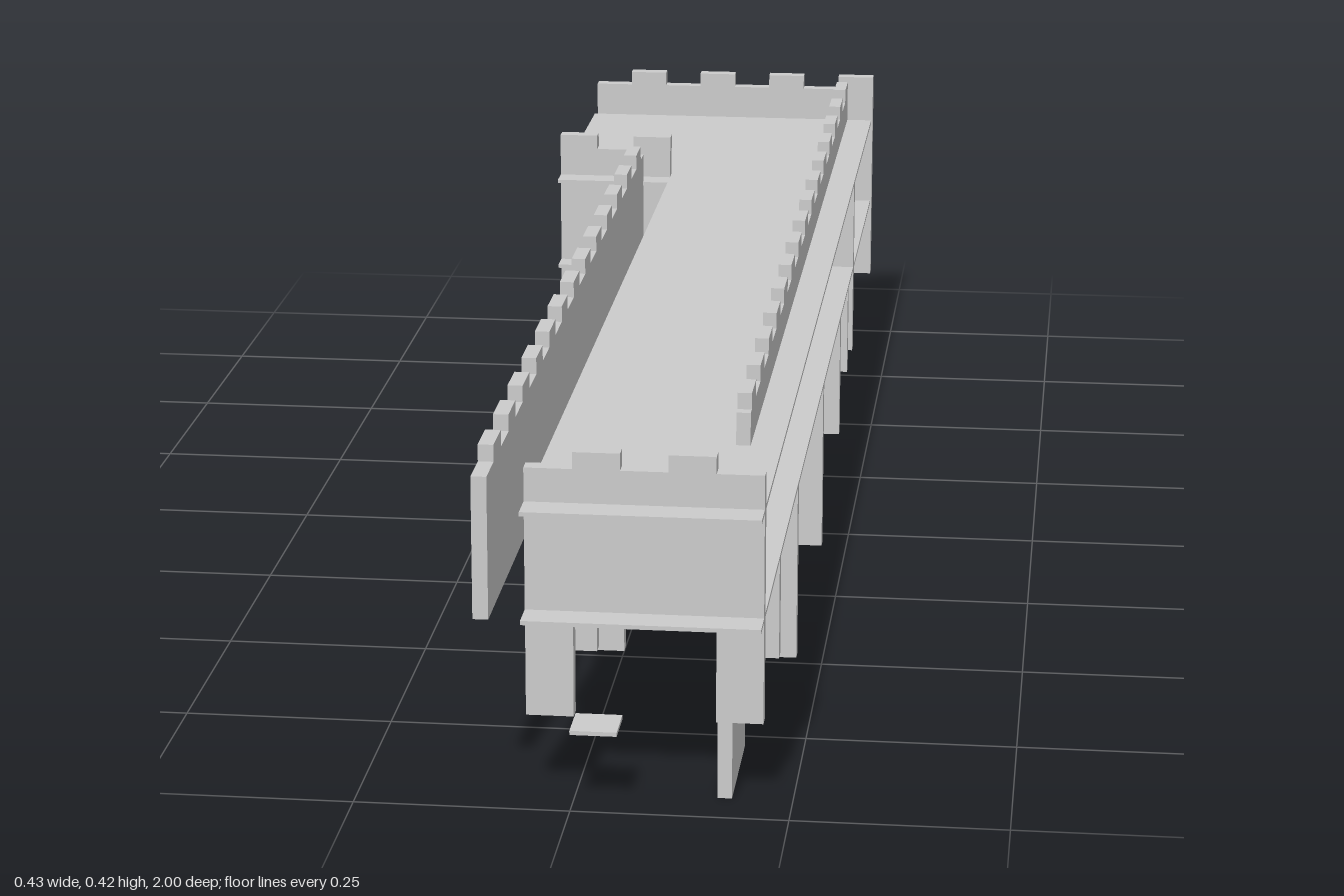
import * as THREE from 'three';

export function createModel() {
  const model = new THREE.Group();
  const grey = new THREE.MeshStandardMaterial({ color: 0xcccccc, flatShading: true });

  // Box given by its limits on each axis
  function block(name, [x0, x1], [y0, y1], [z0, z1], parent = model) {
    const mesh = new THREE.Mesh(new THREE.BoxGeometry(x1 - x0, y1 - y0, z1 - z0), grey);
    mesh.position.set((x0 + x1) / 2, (y0 + y1) / 2, (z0 + z1) / 2);
    mesh.name = name;
    parent.add(mesh);
    return mesh;
  }

  function group(name) {
    const g = new THREE.Group();
    g.name = name;
    model.add(g);
    return g;
  }

  const TOP = 0.417, NOTCH = 0.397;
  const UPPER = [0.352, 0.357], LOWER = [0.223, 0.228];
  const OUT = 0.217, INNER = -0.055;
  const BAY = OUT / 4;                       // width of merlons on the cross walls
  const SIDE_X = [0.163, 0.18];              // plane of the right-hand parapet
  const BACK_Z = -0.946;

  // Two L-shaped floors
  for (const [name, y] of [['upperFloor', UPPER], ['lowerFloor', LOWER]]) {
    const floor = group(name);
    block('mainDeck', [INNER, OUT], y, [BACK_Z, 1], floor);
    block('wingDeck', [-OUT, INNER], y, [BACK_Z, -0.515], floor);
  }

  // Long parapets, with merlons on a shared rhythm
  function longParapet(name, x, z0, z1) {
    const wall = group(name);
    block('wall', x, [0.228, NOTCH], [z0, z1], wall);
    for (let k = 0; k < 17; k++) {
      const c = 0.9175 - 0.1147 * k;
      if (c + 0.028 <= z1 && c - 0.029 >= z0)
        block('merlon', x, [NOTCH, TOP], [c - 0.028, c + 0.028], wall);
    }
  }
  longParapet('leftSideParapet', SIDE_X, BACK_Z - 0.001, 0.73);
  longParapet('rightSideParapet', [-0.109, -0.091], -0.52, 1);

  // Cross walls, with merlons in chosen bays counted from the right
  function crossMerlons(bays, z, parent) {
    for (const i of bays)
      block('merlon', [-OUT + i * BAY, -OUT + (i + 1) * BAY], [NOTCH, TOP], z, parent);
  }

  const back = group('backWall');
  const backZ = [-1, -0.982];
  block('wall', [-OUT, OUT], [0.1, NOTCH], backZ, back);
  crossMerlons([1, 3, 5, 7], backZ, back);

  const wing = group('wingWall');
  const wingZ = [-0.567, -0.548];
  block('wall', [-OUT, OUT], [0.1, 0.352], wingZ, wing);
  block('parapet', [-OUT, INNER], [0.352, NOTCH], wingZ, wing);
  crossMerlons([0, 2], wingZ, wing);

  const front = group('frontWall');
  const frontZ = [0.943, 0.962];
  block('wall', [INNER, OUT], [0.225, NOTCH], frontZ, front);
  crossMerlons([4, 6], frontZ, front);

  // Supports under the lower floor: z, foot height, which rows
  const rows = { inner: [INNER, 0], outer: [0.163, OUT] };
  const supports = [
    [0.952, 0.1, ['inner', 'outer']],
    [0.74, 0.1, ['inner', 'outer']],
    [0.472, 0, ['inner', 'outer']],
    [0.042, 0, ['inner', 'outer']],
    [-0.18, 0.1, ['inner']],
    [-0.285, 0.055, ['outer']],
    [-0.445, 0.1, ['inner', 'outer']],
  ];
  for (const [z, foot, sides] of supports)
    for (const side of sides)
      block(side + 'Support', rows[side], [foot, 0.223], [z - 0.009, z + 0.009]);

  // Low panels and the small front step
  block('rearSidePanel', SIDE_X, [0.1, 0.223], [BACK_Z, -0.567]);
  block('rearSideReturn', SIDE_X, [0.1, 0.223], [-0.548, -0.515]);
  block('wingBasePanel', [-OUT, -0.198], [0, 0.1], [BACK_Z, -0.567]);
  block('frontBasePanel', SIDE_X, [0, 0.135], [0.782, 0.943]);
  block('frontStep', [0, 0.054], [0.093, 0.098], [0.945, 1]);

  return model;
}
